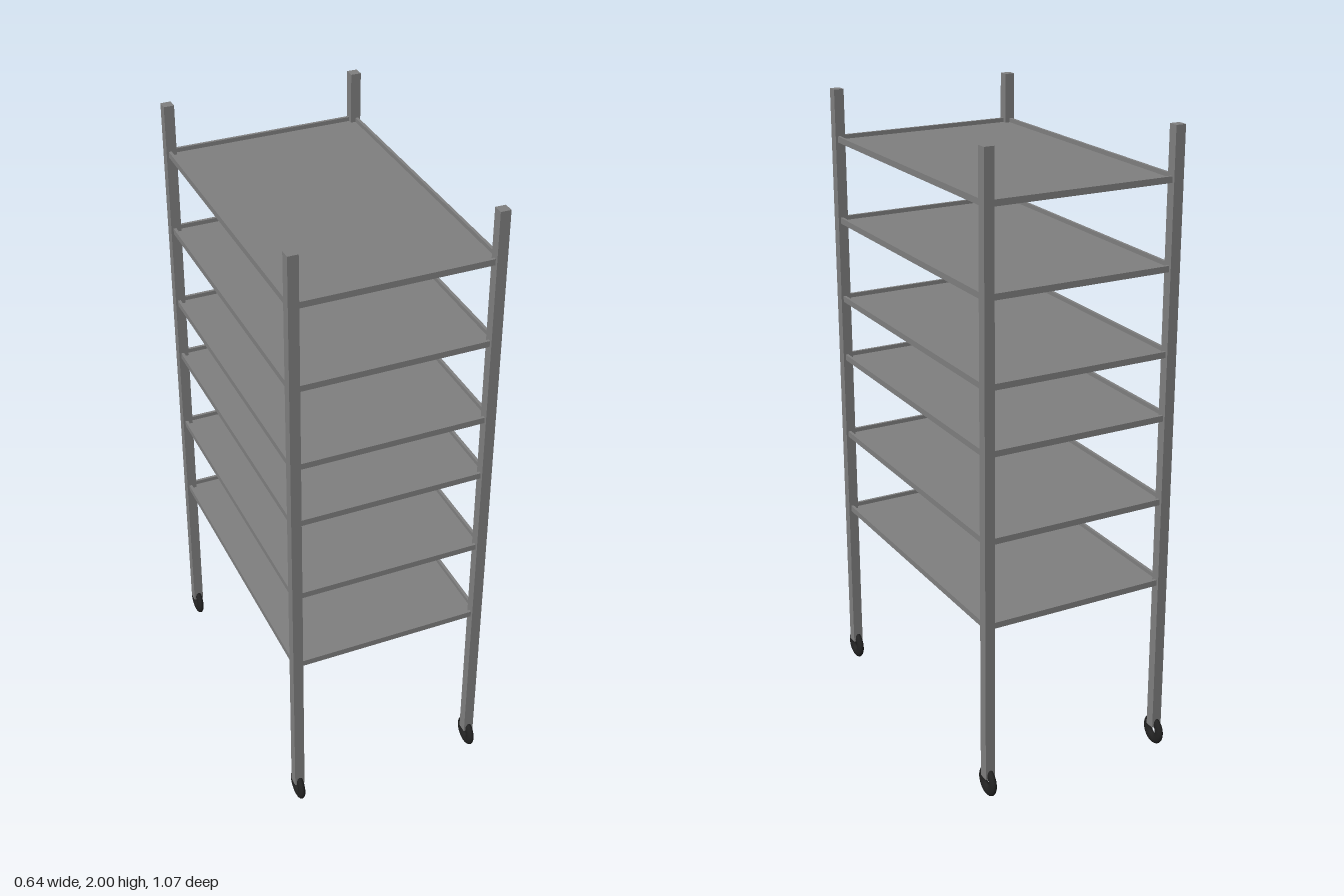
import * as THREE from 'three';

const POST_X = 0.303, POST_Z = 0.486, POST_W = 0.032;
const POST_BOTTOM = 0.065, POST_TOP = 2;
const SHELF_W = 0.624, SHELF_D = 0.986, RIM = 0.009, RIM_H = 0.019;
const SHELF_Y = [0.58, 0.853, 1.125, 1.325, 1.585, 1.845];

export function createModel() {
  const root = new THREE.Group();
  root.name = 'shelfTrolley';
  const steel = new THREE.MeshStandardMaterial({ color: 0x808080 });
  const rubber = new THREE.MeshStandardMaterial({ color: 0x222222 });

  const add = (parent, name, geometry, material, x, y, z) => {
    const mesh = new THREE.Mesh(geometry, material);
    mesh.name = name;
    mesh.position.set(x, y, z);
    parent.add(mesh);
  };

  // Square corner posts, each standing on a ring-shaped wheel
  const postH = POST_TOP - POST_BOTTOM;
  const postGeo = new THREE.BoxGeometry(POST_W, postH, POST_W);
  const wheelGeo = new THREE.TorusGeometry(0.031, 0.017, 16, 40);
  wheelGeo.scale(1, 1, 0.62).rotateY(Math.PI / 2);
  for (const sx of [-1, 1]) {
    for (const sz of [-1, 1]) {
      const corner = (sz > 0 ? 'front' : 'back') + (sx > 0 ? 'Left' : 'Right');
      add(root, corner + 'Post', postGeo, steel, sx * POST_X, POST_BOTTOM + postH / 2, sz * POST_Z);
      add(root, corner + 'Wheel', wheelGeo, rubber, sx * POST_X, 0.048, sz * POST_Z);
    }
  }

  // Shallow tray shelves: a thin panel with a raised rim
  const panelGeo = new THREE.BoxGeometry(SHELF_W - 2 * RIM, 0.006, SHELF_D - 2 * RIM);
  const sideGeo = new THREE.BoxGeometry(RIM, RIM_H, SHELF_D);
  const endGeo = new THREE.BoxGeometry(SHELF_W - 2 * RIM, RIM_H, RIM);
  SHELF_Y.forEach((y, i) => {
    const shelf = new THREE.Group();
    shelf.name = 'shelf' + (i + 1);
    shelf.position.y = y;
    add(shelf, 'panel', panelGeo, steel, 0, 0.003 - RIM_H / 2, 0);
    for (const s of [-1, 1]) {
      add(shelf, s > 0 ? 'leftRim' : 'rightRim', sideGeo, steel, s * (SHELF_W - RIM) / 2, 0, 0);
      add(shelf, s > 0 ? 'frontRim' : 'backRim', endGeo, steel, 0, 0, s * (SHELF_D - RIM) / 2);
    }
    root.add(shelf);
  });

  return root;
}
